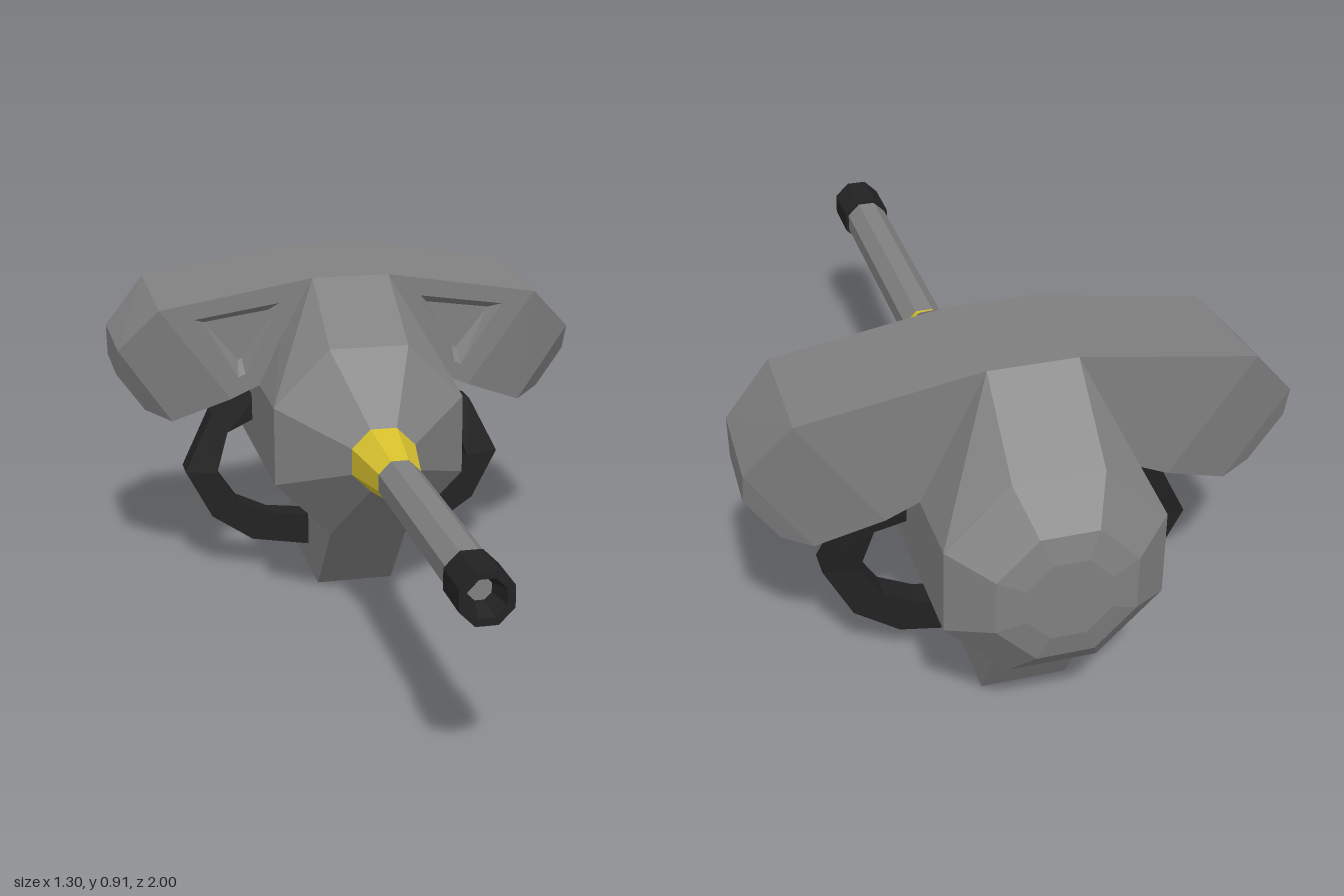
import * as THREE from 'three';
import { ConvexGeometry } from 'three/addons/geometries/ConvexGeometry.js';

const AXIS_Y = 0.482;

// Give every face its own flat normal
function faceted(geo) {
  const g = geo.index ? geo.toNonIndexed() : geo;
  g.computeVertexNormals();
  return g;
}

// Octagonal turned part along z; profile holds [flat-to-centre radius, z]
function turned(profile) {
  const pts = profile.map(([r, z]) => new THREE.Vector2(r / Math.cos(Math.PI / 8), z));
  const g = new THREE.LatheGeometry(pts, 8, Math.PI / 8);
  g.rotateX(Math.PI / 2);
  g.translate(0, AXIS_Y, 0);
  return faceted(g);
}

// Skin a row of equal rings; side -1 mirrors in x and flips the winding
function loft(rings, side, { startCap = true, skip = () => false } = {}) {
  const pos = [];
  const tri = (a, b, c) => {
    for (const p of side > 0 ? [a, b, c] : [a, c, b]) pos.push(p[0] * side, p[1], p[2]);
  };
  const n = rings[0].length;
  for (let i = 0; i < rings.length - 1; i++) {
    for (let j = 0; j < n; j++) {
      if (skip(i, j)) continue;
      const k = (j + 1) % n;
      tri(rings[i][j], rings[i][k], rings[i + 1][k]);
      tri(rings[i][j], rings[i + 1][k], rings[i + 1][j]);
    }
  }
  const first = rings[0], last = rings[rings.length - 1];
  for (let j = 1; j < n - 1; j++) {
    tri(last[0], last[j], last[j + 1]);
    if (startCap) tri(first[0], first[j + 1], first[j]);
  }
  const g = new THREE.BufferGeometry();
  g.setAttribute('position', new THREE.Float32BufferAttribute(pos, 3));
  return faceted(g);
}

export function createModel() {
  const model = new THREE.Group();
  const grey = new THREE.MeshStandardMaterial({ color: 0x808080 });
  const yellow = new THREE.MeshStandardMaterial({ color: 0xd8c22e });
  const black = new THREE.MeshStandardMaterial({ color: 0x222222 });
  grey.name = 'grey';
  yellow.name = 'yellow';
  black.name = 'black';

  const add = (name, geo, mat) => {
    const m = new THREE.Mesh(geo, mat);
    m.name = name;
    model.add(m);
  };

  // Octagonal body with domed back and tapered nose
  add('body', turned([[0, -1], [0.1, -1], [0.165, -0.985], [0.26, -0.9], [0.26, -0.14], [0.085, 0.03], [0, 0.03]]), grey);

  // Raised saddle between the wings
  const saddle = [];
  for (const s of [1, -1]) {
    for (const [y, z] of [[0.742, -0.14], [0.885, -0.37], [0.912, -0.705], [0.742, -0.9]]) {
      saddle.push(new THREE.Vector3(s * 0.107, y, z), new THREE.Vector3(s * 0.26, 0.59, z));
    }
  }
  add('saddle', faceted(new ConvexGeometry(saddle)), grey);

  // Keel under the body
  const keel = new THREE.Shape([[0.14, 0.23], [0.34, 0], [0.7, 0], [0.84, 0.23], [0.8, 0.35], [0.2, 0.35]]
    .map(([x, y]) => new THREE.Vector2(x, y)));
  const keelGeo = new THREE.ExtrudeGeometry(keel, { depth: 0.214, bevelEnabled: false });
  keelGeo.rotateY(Math.PI / 2);
  keelGeo.translate(-0.107, 0, 0);
  add('keel', faceted(keelGeo), grey);

  // Barrel, collar and hollow muzzle
  add('collar', turned([[0, 0.02], [0.085, 0.03], [0.055, 0.21], [0, 0.21]]), yellow);
  add('barrel', turned([[0.055, 0.2], [0.055, 0.88]]), grey);
  add('muzzle', turned([[0, 0.87], [0.063, 0.87], [0.063, 1], [0.045, 1], [0.027, 0.94]]), black);
  add('bore', turned([[0.03, 0.94], [0, 0.94]]), grey);

  // Wing stations: [inner x, y], [outer front x, y], [outer back x, y], front z, back z
  const wing = [
    [[0.26, 0.59], [0.107, 0.885], [0.107, 0.912], -0.37, -0.705],
    [[0.34, 0.555], [0.53, 0.815], [0.54, 0.842], -0.37, -0.705],
    [[0.5, 0.49], [0.642, 0.7], [0.651, 0.712], -0.41, -0.67],
    [[0.57, 0.515], [0.645, 0.622], [0.651, 0.63], -0.455, -0.65],
  ].map(([inn, of, ob, zf, zb]) => [[...inn, zf], [...inn, zb], [...ob, zb], [...of, zf]]);

  // Tapered triangular recess in each wing
  const rim = [[0.2, 0.82], [0.298, 0.625], [0.318, 0.615], [0.435, 0.785]];
  const floor = [[0.225, 0.793], [0.302, 0.66], [0.312, 0.655], [0.405, 0.768]];

  // Handle stations: [inner x, y], [outer x, y], z of the middle
  const handle = [
    [[0.22, 0.465], [0.22, 0.54], -0.555],
    [[0.335, 0.42], [0.38, 0.475], -0.53],
    [[0.37, 0.305], [0.46, 0.315], -0.515],
    [[0.31, 0.215], [0.387, 0.175], -0.515],
    [[0.22, 0.172], [0.272, 0.097], -0.515],
    [[0.1, 0.158], [0.1, 0.067], -0.515],
  ].map(([i, o, z]) => [[...i, z + 0.036], [...i, z - 0.036], [...o, z - 0.036], [...o, z + 0.036]]);

  for (const side of [1, -1]) {
    const label = side > 0 ? 'left' : 'right';

    // Wing shell, left open where the recessed front panel sits
    add(label + 'Wing', loft(wing, side, { skip: (i, j) => i === 0 && j === 3 }), grey);
    const v = ([x, y]) => new THREE.Vector2(x * side, y);
    const panel = new THREE.Shape([wing[0][0], wing[1][0], wing[1][3], wing[0][3]].map(v));
    panel.holes.push(new THREE.Path(rim.map(v)));
    const panelGeo = new THREE.ShapeGeometry(panel);
    panelGeo.translate(0, 0, -0.37);
    add(label + 'WingPanel', faceted(panelGeo), grey);
    const recess = [rim.map((p) => [...p, -0.37]), floor.map((p) => [...p, -0.41])];
    add(label + 'WingRecess', loft(recess, side, { startCap: false }), grey);

    // Looped side handle
    add(label + 'Handle', loft(handle, side), black);
  }

  return model;
}
